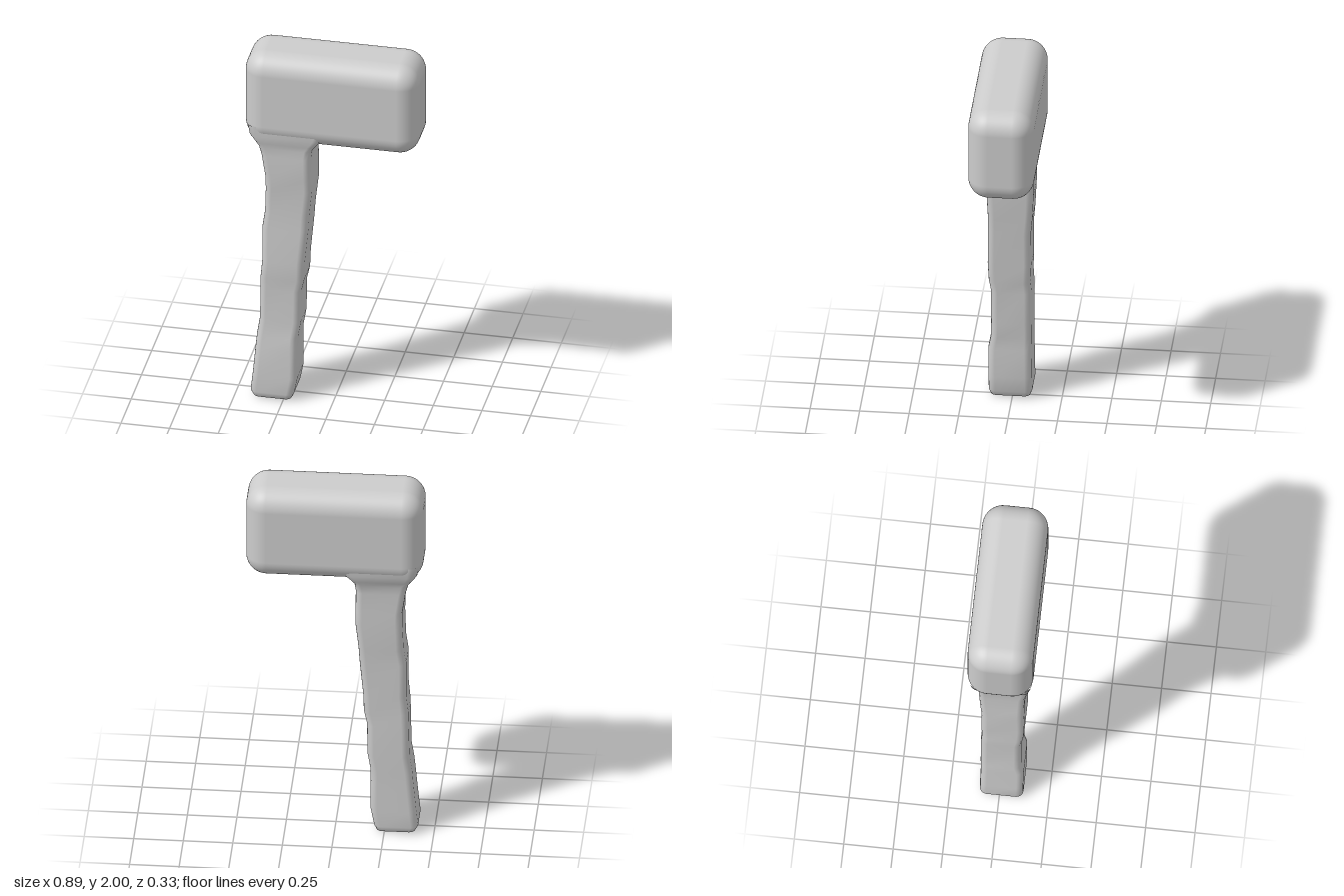
import * as THREE from 'three';
import { RoundedBoxGeometry } from 'three/addons/geometries/RoundedBoxGeometry.js';

// Handle sections: y, right x, left x, back z, front z, corner radius
const SECTIONS = [
  [0.00, -0.385, -0.23, -0.07, 0.09, 0.02],
  [0.01, -0.405, -0.21, -0.09, 0.11, 0.03],
  [0.04, -0.42, -0.197, -0.10, 0.12, 0.035],
  [0.13, -0.41, -0.18, -0.10, 0.12, 0.035],
  [0.29, -0.395, -0.18, -0.098, 0.12, 0.035],
  [0.36, -0.39, -0.18, -0.10, 0.107, 0.035],
  [0.45, -0.376, -0.165, -0.10, 0.105, 0.035],
  [0.63, -0.372, -0.162, -0.10, 0.105, 0.035],
  [0.70, -0.37, -0.146, -0.096, 0.115, 0.035],
  [0.80, -0.36, -0.143, -0.10, 0.12, 0.035],
  [0.99, -0.36, -0.125, -0.10, 0.117, 0.035],
  [1.08, -0.347, -0.12, -0.108, 0.117, 0.035],
  [1.22, -0.342, -0.105, -0.115, 0.122, 0.035],
  [1.30, -0.342, -0.105, -0.115, 0.136, 0.035],
  [1.42, -0.36, -0.107, -0.118, 0.138, 0.035],
  [1.47, -0.373, -0.10, -0.125, 0.14, 0.035],
  [1.50, -0.392, -0.078, -0.14, 0.147, 0.04],
  [1.54, -0.42, -0.04, -0.155, 0.157, 0.05],
  [1.60, -0.43, -0.02, -0.16, 0.16, 0.05],
];

// Points of a rounded rectangle, one quarter arc at each corner
function ring([y, x0, x1, z0, z1, r], steps) {
  const corners = [[x1 - r, z1 - r], [x0 + r, z1 - r], [x0 + r, z0 + r], [x1 - r, z0 + r]];
  const points = [];
  corners.forEach(([cx, cz], c) => {
    for (let i = 0; i <= steps; i++) {
      const a = (c + i / steps) * Math.PI / 2;
      points.push(cx + r * Math.cos(a), y, cz + r * Math.sin(a));
    }
  });
  return points;
}

function loft(sections, steps = 4) {
  const n = 4 * (steps + 1);
  const positions = sections.flatMap((s) => ring(s, steps));
  const index = [];
  for (let k = 0; k < sections.length - 1; k++) {
    for (let i = 0; i < n; i++) {
      const j = (i + 1) % n;
      const a = k * n + i, b = k * n + j;
      index.push(a, a + n, b, b, a + n, b + n);
    }
  }
  // Close the bottom end
  const [y, x0, x1, z0, z1] = sections[0];
  positions.push((x0 + x1) / 2, y, (z0 + z1) / 2);
  for (let i = 0; i < n; i++) index.push(sections.length * n, i, (i + 1) % n);

  const geometry = new THREE.BufferGeometry();
  geometry.setAttribute('position', new THREE.Float32BufferAttribute(positions, 3));
  geometry.setIndex(index);
  geometry.computeVertexNormals();
  return geometry;
}

export function createModel() {
  const model = new THREE.Group();
  model.name = 'hammer';
  const grey = new THREE.MeshStandardMaterial({ color: 0xcccccc });
  grey.name = 'light grey';

  // Block head with soft edges
  const head = new THREE.Mesh(new RoundedBoxGeometry(0.895, 0.5, 0.333, 6, 0.105), grey);
  head.name = 'head';
  head.position.set(0, 1.75, 0);

  // Uneven carved handle, flaring into the head
  const handle = new THREE.Mesh(loft(SECTIONS), grey);
  handle.name = 'handle';

  model.add(head, handle);
  return model;
}
